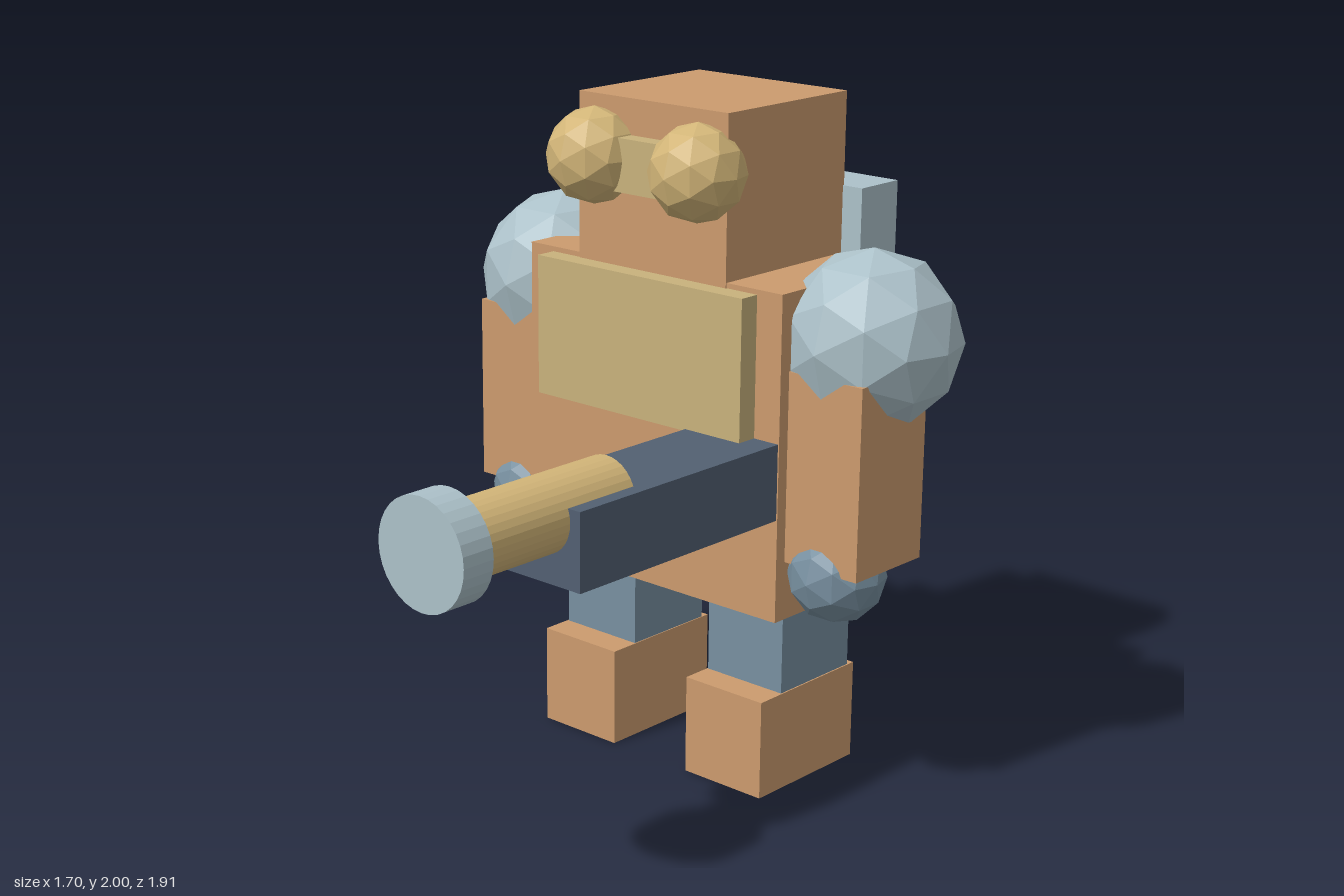
import * as THREE from 'three';

const mat = (name, color) => {
  const m = new THREE.MeshStandardMaterial({ color, flatShading: true });
  m.name = name;
  return m;
};

export function createModel() {
  const model = new THREE.Group();
  model.name = 'robot';

  const copper = mat('copper', 0xcc9b6e);
  const brass = mat('brass', 0xd2b578);
  const olive = mat('oliveBrass', 0xc8b27c);
  const paleSteel = mat('paleSteel', 0xacc1c9);
  const blueSteel = mat('blueSteel', 0x7890a0);
  const gunmetal = mat('gunmetal', 0x526072);

  const add = (name, geometry, material, x, y, z) => {
    const mesh = new THREE.Mesh(geometry, material);
    mesh.name = name;
    mesh.position.set(x, y, z);
    model.add(mesh);
    return mesh;
  };
  // Box given by its min and max on each axis
  const box = (name, material, [x0, x1], [y0, y1], [z0, z1]) =>
    add(name, new THREE.BoxGeometry(x1 - x0, y1 - y0, z1 - z0), material,
      (x0 + x1) / 2, (y0 + y1) / 2, (z0 + z1) / 2);
  const ball = (name, material, r, x, y, z) =>
    add(name, new THREE.IcosahedronGeometry(r, 1), material, x, y, z);
  // Cylinder lying along z
  const rod = (name, material, r, x, y, z0, z1) => {
    const g = new THREE.CylinderGeometry(r, r, z1 - z0, 32).rotateX(Math.PI / 2);
    return add(name, g, material, x, y, (z0 + z1) / 2);
  };

  // Body
  box('torso', copper, [-0.48, 0.48], [0.565, 1.525], [-0.787, -0.27]);
  box('head', copper, [-0.28, 0.28], [1.5, 2], [-0.79, -0.266]);
  box('chestPlate', olive, [-0.39, 0.39], [1.09, 1.51], [-0.3, -0.205]);
  box('eyeBand', olive, [-0.2, 0.2], [1.74, 1.895], [-0.3, -0.21]);
  box('backpack', paleSteel, [-0.35, 0.35], [1.305, 1.725], [-0.955, -0.785]);

  // Mirrored parts
  for (const [side, s] of [['left', 1], ['right', -1]]) {
    const span = (a, b) => (s > 0 ? [a, b] : [-b, -a]);
    ball(side + 'Eye', brass, 0.142, s * 0.195, 1.828, -0.238);
    ball(side + 'Shoulder', paleSteel, 0.26, s * 0.592, 1.372, -0.53);
    box(side + 'Arm', copper, span(0.46, 0.734), [0.74, 1.3], [-0.603, -0.307]);
    ball(side + 'Hand', blueSteel, 0.143, s * 0.592, 0.708, -0.406);
    box(side + 'Leg', blueSteel, span(0.148, 0.428), [0.28, 0.6], [-0.685, -0.372]);
    box(side + 'Foot', copper, span(0.145, 0.432), [0, 0.302], [-0.71, -0.277]);
  }

  // Cannon on the left of the belly
  box('cannonMount', gunmetal, [0.19, 0.476], [0.872, 1.096], [-0.3, 0.53]);
  rod('cannonBarrel', brass, 0.106, 0.335, 1.056, 0.28, 0.87);
  rod('cannonMuzzle', paleSteel, 0.155, 0.335, 1.057, 0.855, 0.958);

  return model;
}
